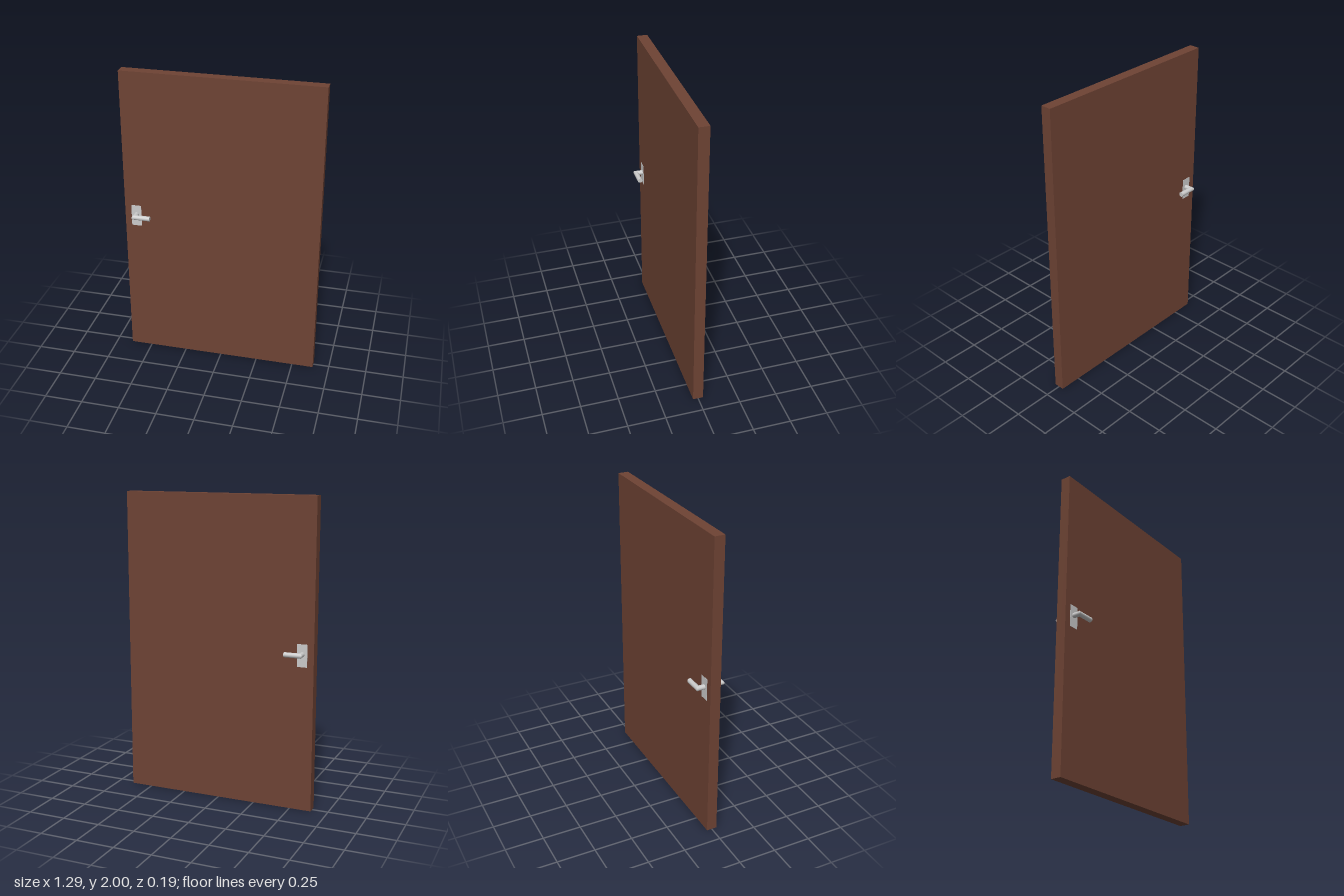
import * as THREE from 'three';

const wood = new THREE.MeshStandardMaterial({ color: 0x6e4334 });
const metal = new THREE.MeshStandardMaterial({ color: 0xcccccc });

const DOOR = { width: 1.286, height: 2, depth: 0.068 };
const HANDLE = { x: -0.567, y: 1.025, radius: 0.016, reach: 0.079, tip: -0.463 };

function addMesh(parent, name, geometry, material, x = 0, y = 0, z = 0) {
  const mesh = new THREE.Mesh(geometry, material);
  mesh.name = name;
  mesh.position.set(x, y, z);
  parent.add(mesh);
  return mesh;
}

// Round bar along y from 0 to length; the chosen end is cut at 45 degrees, leaning along x
function mitredBar(length, cutAtTop, lean) {
  const geometry = new THREE.CylinderGeometry(HANDLE.radius, HANDLE.radius, length, 24);
  geometry.translate(0, length / 2, 0);
  const p = geometry.attributes.position;
  for (let i = 0; i < p.count; i++) {
    const atTop = p.getY(i) > length / 2;
    if (atTop === cutAtTop) p.setY(i, p.getY(i) + lean * p.getX(i));
  }
  return geometry;
}

// L-shaped lever handle projecting toward +z, with its axis at the group origin
function createHandle(name) {
  const handle = new THREE.Group();
  handle.name = name;
  const shank = mitredBar(HANDLE.reach, true, -1);
  shank.rotateX(Math.PI / 2);
  addMesh(handle, 'shank', shank, metal);
  const grip = mitredBar(HANDLE.tip - HANDLE.x, false, 1);
  grip.rotateZ(-Math.PI / 2);
  grip.rotateX(Math.PI / 2);
  // turn the bar so that the long side of the cut faces outward
  const p = grip.attributes.position;
  let outer = 0;
  for (let i = 0; i < p.count; i++) if (p.getX(i) < p.getX(outer)) outer = i;
  const angle = Math.atan2(p.getY(outer), p.getZ(outer));
  grip.rotateX(angle);
  addMesh(handle, 'grip', grip, metal, 0, 0, HANDLE.reach);
  return handle;
}

export function createModel() {
  const door = new THREE.Group();
  door.name = 'door';

  // Plain slab
  addMesh(door, 'doorPanel', new THREE.BoxGeometry(DOOR.width, DOOR.height, DOOR.depth),
    wood, 0, DOOR.height / 2, 0);

  // Cover plate and lever on each face
  for (const side of [1, -1]) {
    const prefix = side > 0 ? 'front' : 'back';
    addMesh(door, prefix + 'Plate', new THREE.BoxGeometry(0.067, 0.146, 0.003),
      metal, HANDLE.x, 1.017, side * DOOR.depth / 2);
    const handle = createHandle(prefix + 'Handle');
    handle.position.set(HANDLE.x, HANDLE.y, 0);
    if (side < 0) handle.rotation.x = Math.PI;
    door.add(handle);
  }
  return door;
}
